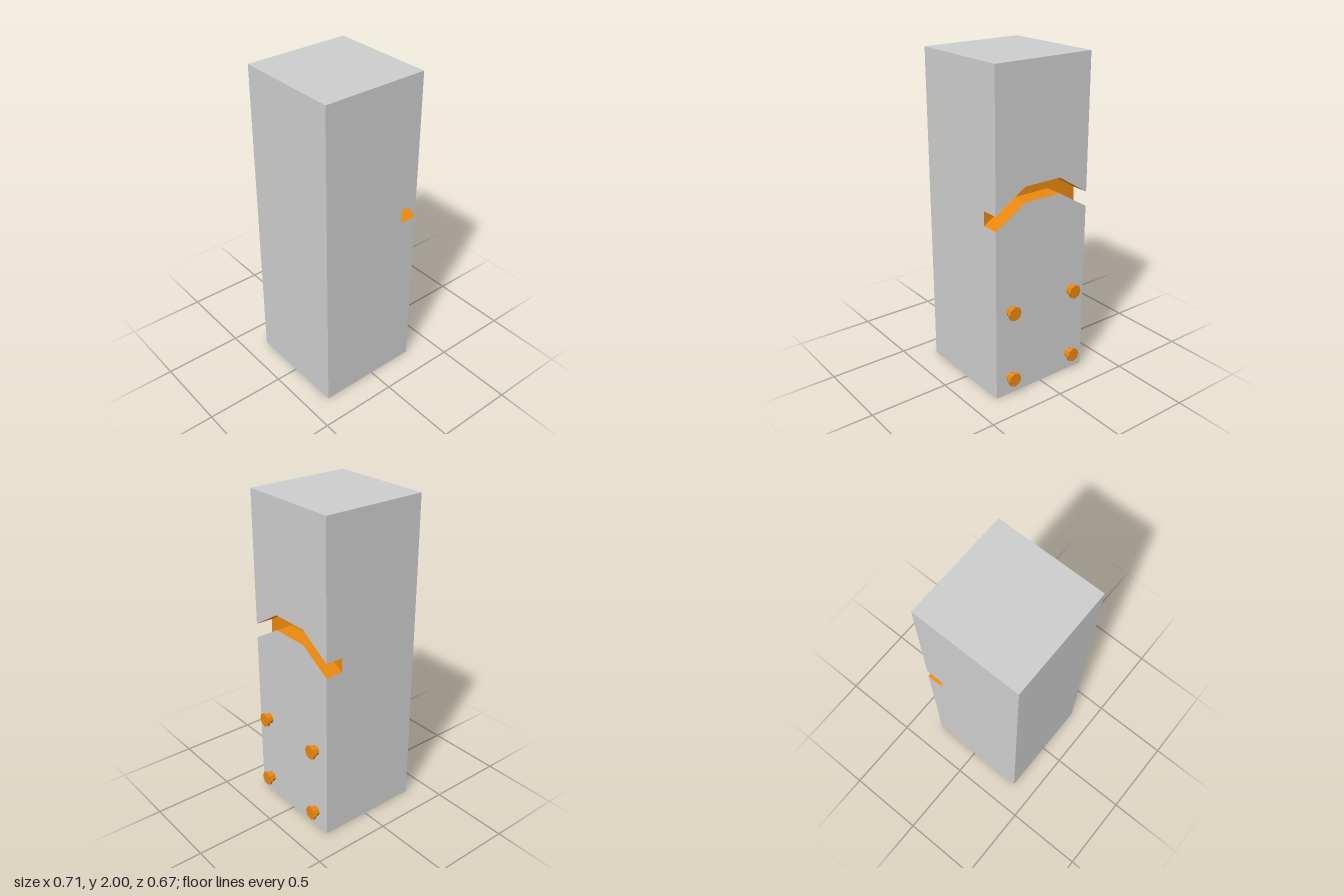
import * as THREE from 'three';
import { mergeGeometries } from 'three/addons/utils/BufferGeometryUtils.js';

const X0 = -0.357, X1 = 0.309, GX = 0.2; // left face, right face, groove back wall
const Z = 0.333, H = 2;

// groove outline as [z, y], from back to front
const floor = [[-Z, 1.08], [-0.125, 1.205], [0.125, 1.205], [Z, 1.08]];
const ceiling = [[-Z, 1.17], [-0.125, 1.3], [0.125, 1.3], [Z, 1.17]];

// flat polygon (counter-clockwise 2D points) placed in space by a mapping rule
function panel(points, place, flip = false) {
  const shape = new THREE.Shape(points.map(([a, b]) => new THREE.Vector2(a, b)));
  const geo = new THREE.ShapeGeometry(shape);
  if (flip) geo.setIndex(Array.from(geo.index.array).reverse());
  const pos = geo.attributes.position;
  for (let i = 0; i < pos.count; i++) pos.setXYZ(i, ...place(pos.getX(i), pos.getY(i)));
  const flat = geo.toNonIndexed();
  flat.computeVertexNormals();
  return flat;
}

// panels facing along each axis
const facingX = (pts, x, flip) => panel(pts, (a, b) => [x, b, a], !flip);
const facingY = (pts, y, flip) => panel(pts, (a, b) => [a, y, b], !flip);
const facingZ = (pts, z, flip) => panel(pts, (a, b) => [a, b, z], flip);

export function createModel() {
  const group = new THREE.Group();
  const grey = new THREE.MeshStandardMaterial({ color: 0xcccccc });
  const orange = new THREE.MeshStandardMaterial({ color: 0xe8860f });

  const add = (name, geo, material, parent = group) => {
    const mesh = new THREE.Mesh(geo, material);
    mesh.name = name;
    parent.add(mesh);
    return mesh;
  };

  // square post, notched where the groove runs out at front and back
  const side = [[X0, 0], [X1, 0], [X1, 1.08], [GX, 1.08], [GX, 1.17], [X1, 1.17], [X1, H], [X0, H]];
  const square = [[X0, -Z], [X1, -Z], [X1, Z], [X0, Z]];
  add('post', mergeGeometries([
    facingZ(side, Z),
    facingZ(side, -Z, true),
    facingY(square, H),
    facingY(square, 0, true),
    facingX([[-Z, 0], [Z, 0], [Z, H], [-Z, H]], X0, true),
    facingX([[-Z, 0], [Z, 0], ...[...floor].reverse()], X1),
    facingX([...ceiling, [Z, H], [-Z, H]], X1),
  ]), grey);

  // arched groove: back wall plus floor and ceiling strips
  const strips = [facingX([...floor, ...[...ceiling].reverse()], GX)];
  for (const [line, isCeiling] of [[floor, false], [ceiling, true]]) {
    for (let i = 0; i < line.length - 1; i++) {
      const [za, ya] = line[i], [zb, yb] = line[i + 1];
      strips.push(panel([[GX, 0], [X1, 0], [X1, 1], [GX, 1]],
        (x, t) => [x, ya + (yb - ya) * t, za + (zb - za) * t], !isCeiling));
    }
  }
  add('groove', mergeGeometries(strips), orange);

  // four eight-sided studs with flared heads
  const boltOrange = orange.clone();
  boltOrange.flatShading = true;
  const rod = (radius, from, to) => new THREE.CylinderGeometry(radius, radius, to - from, 8)
    .rotateZ(-Math.PI / 2).translate((from + to) / 2, 0, 0);
  const stem = rod(0.0325, 0, 0.031);
  const head = rod(0.0445, 0.031, 0.047);
  for (const y of [0.113, 0.557]) {
    for (const z of [-0.23, 0.229]) {
      const stud = new THREE.Group();
      stud.name = 'stud';
      stud.position.set(X1, y, z);
      add('studStem', stem, boltOrange, stud);
      add('studHead', head, boltOrange, stud);
      group.add(stud);
    }
  }
  return group;
}
